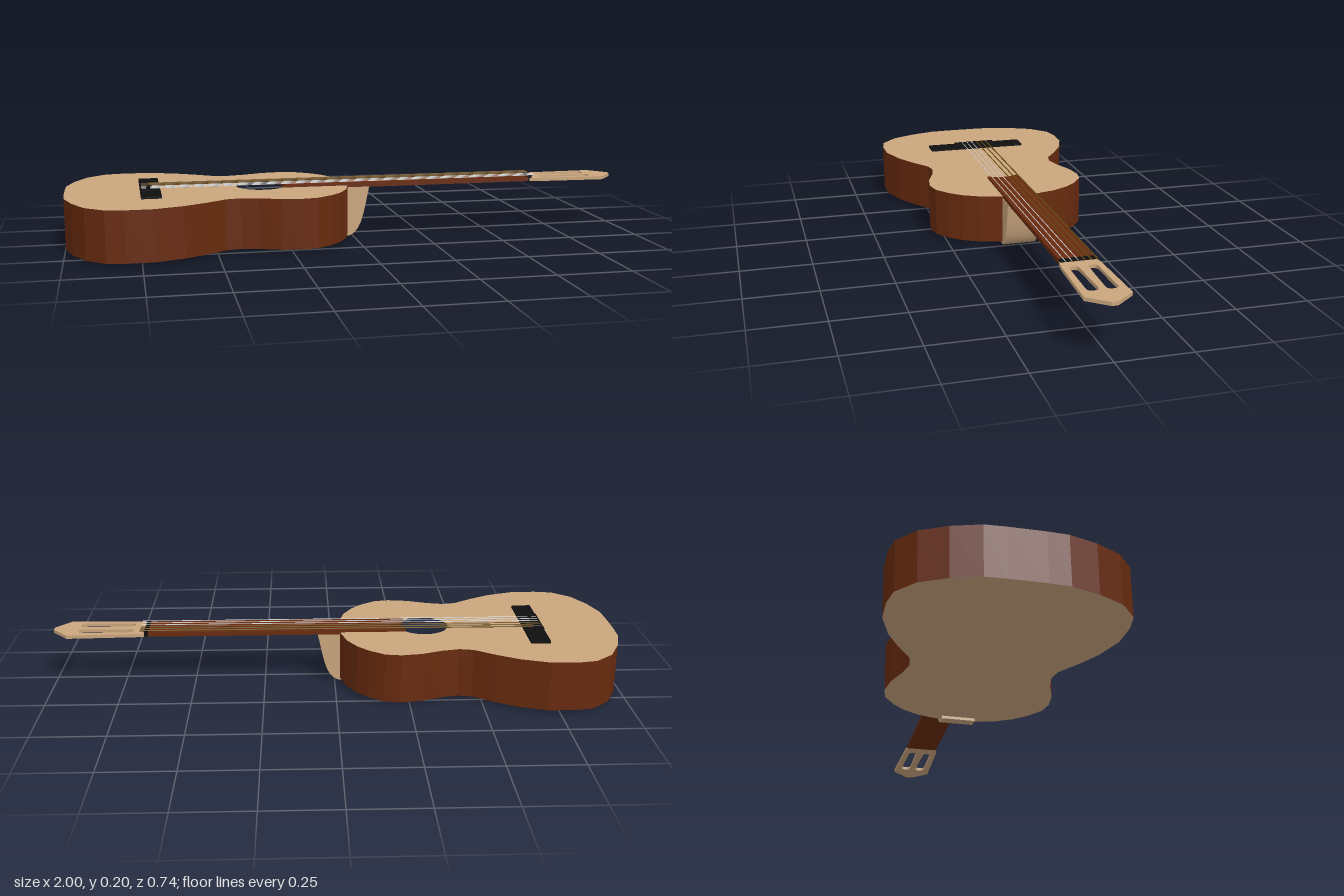
import * as THREE from 'three';

const mat = (name, color) => {
  const m = new THREE.MeshStandardMaterial({ color });
  m.name = name;
  return m;
};

export function createModel() {
  const spruce = mat('pale wood', 0xc9a57d);
  const rosewood = mat('dark red wood', 0x672a0e);
  const ebony = mat('black wood', 0x0f0f0f);
  const bronze = mat('bronze string', 0x6b4c14);
  const nylon = mat('nylon string', 0xdcdcdc);

  const guitar = new THREE.Group();
  guitar.name = 'guitar';
  const add = (name, geometry, material) => {
    const mesh = new THREE.Mesh(geometry, material);
    mesh.name = name;
    guitar.add(mesh);
    return mesh;
  };
  // Horizontal slab: shape x,y become world x,z; thickness goes down from yTop
  const slab = (shape, yTop, depth) =>
    new THREE.ExtrudeGeometry(shape, { depth, bevelEnabled: false, curveSegments: 20 })
      .rotateX(Math.PI / 2).translate(0, yTop, 0);
  const box = (x0, x1, y0, y1, z0, z1) =>
    new THREE.BoxGeometry(x1 - x0, y1 - y0, z1 - z0)
      .translate((x0 + x1) / 2, (y0 + y1) / 2, (z0 + z1) / 2);
  const poly = (pts) => new THREE.Shape(pts.map(([x, z]) => new THREE.Vector2(x, z)));

  // Body outline, one half mirrored
  const half = [
    [-1, 0.06], [-0.997, 0.128], [-0.97, 0.22], [-0.928, 0.305], [-0.864, 0.36],
    [-0.80, 0.372], [-0.709, 0.37], [-0.612, 0.337], [-0.537, 0.294], [-0.468, 0.246],
    [-0.42, 0.237], [-0.361, 0.25], [-0.286, 0.278], [-0.217, 0.288], [-0.163, 0.278],
    [-0.11, 0.24], [-0.072, 0.198], [-0.04, 0.139], [-0.019, 0.06],
  ];
  const outline = [...half, ...half.map(([x, z]) => [x, -z]).reverse()];
  const holeX = -0.32, holeR = 0.088;

  // Top with an open sound hole, back, and a hollow rim between them
  const top = poly(outline);
  top.holes.push(new THREE.Path().absarc(holeX, 0, holeR, 0, Math.PI * 2, true));
  add('soundboard', slab(top, 0.183, 0.004), [spruce, rosewood]);
  add('back', slab(poly(outline), 0.014, 0.004), [spruce, rosewood]);
  const rim = poly(outline);
  const inner = outline.map(([x, z]) => new THREE.Vector2(-0.51 + (x + 0.51) * 0.985, z * 0.985));
  rim.holes.push(new THREE.Path(inner));
  add('sides', slab(rim, 0.179, 0.165), rosewood);

  // Neck board, its end cut along the sound hole
  const neckZ = 0.059;
  const angle = Math.asin(neckZ / holeR);
  const neck = new THREE.Shape();
  neck.moveTo(0.665, -neckZ);
  neck.lineTo(0.665, neckZ);
  neck.lineTo(holeX + holeR * Math.cos(angle), neckZ);
  neck.absarc(holeX, 0, holeR, angle, -angle, true);
  neck.closePath();
  add('neck', slab(neck, 0.19, 0.015), rosewood);

  // Heel: side profile extruded across the neck
  const heel = new THREE.Shape();
  heel.moveTo(-0.03, 0.176);
  heel.lineTo(-0.03, 0.01);
  heel.lineTo(-0.05, 0.01);
  heel.lineTo(-0.05, 0);
  heel.lineTo(-0.015, 0);
  heel.bezierCurveTo(0.035, 0.015, 0.04, 0.09, 0.06, 0.176);
  heel.closePath();
  add('heel', new THREE.ExtrudeGeometry(heel, { depth: 0.118, bevelEnabled: false, curveSegments: 16 })
    .translate(0, 0, -0.057), spruce);

  // Slotted head
  const head = poly([[0.665, -0.057], [0.70, -0.063], [0.945, -0.071], [1, -0.008],
    [1, 0.012], [0.945, 0.076], [0.70, 0.067], [0.665, 0.061]]);
  for (const s of [-1, 1]) {
    const c = 0.002;
    const slot = new THREE.Path();
    slot.moveTo(0.73, c + s * 0.015);
    slot.lineTo(0.89, c + s * 0.011);
    slot.quadraticCurveTo(0.907, c + s * 0.012, 0.907, c + s * 0.03);
    slot.quadraticCurveTo(0.907, c + s * 0.048, 0.89, c + s * 0.049);
    slot.lineTo(0.73, c + s * 0.046);
    slot.quadraticCurveTo(0.714, c + s * 0.045, 0.714, c + s * 0.03);
    slot.quadraticCurveTo(0.714, c + s * 0.016, 0.73, c + s * 0.015);
    head.holes.push(slot);
  }
  add('head', slab(head, 0.187, 0.012), spruce);

  // Nut and bridge
  add('nut', box(0.66, 0.674, 0.176, 0.195, -0.06, 0.06), ebony);
  add('bridge', box(-0.745, -0.676, 0.182, 0.191, -0.192, 0.188), ebony);
  add('tieBlock', box(-0.745, -0.71, 0.19, 0.196, -0.082, 0.08), ebony);

  // Six strings: three wound, three plain
  for (let i = 0; i < 6; i++) {
    const wound = i < 3;
    const r = wound ? 0.0024 - i * 0.0003 : 0.0014;
    const string = add(wound ? 'bassString' : 'trebleString',
      new THREE.CylinderGeometry(r, r, 1.43, 8).rotateZ(Math.PI / 2), wound ? bronze : nylon);
    string.position.set(-0.025, 0.1955, -0.053 + i * 0.0202);
  }
  return guitar;
}
